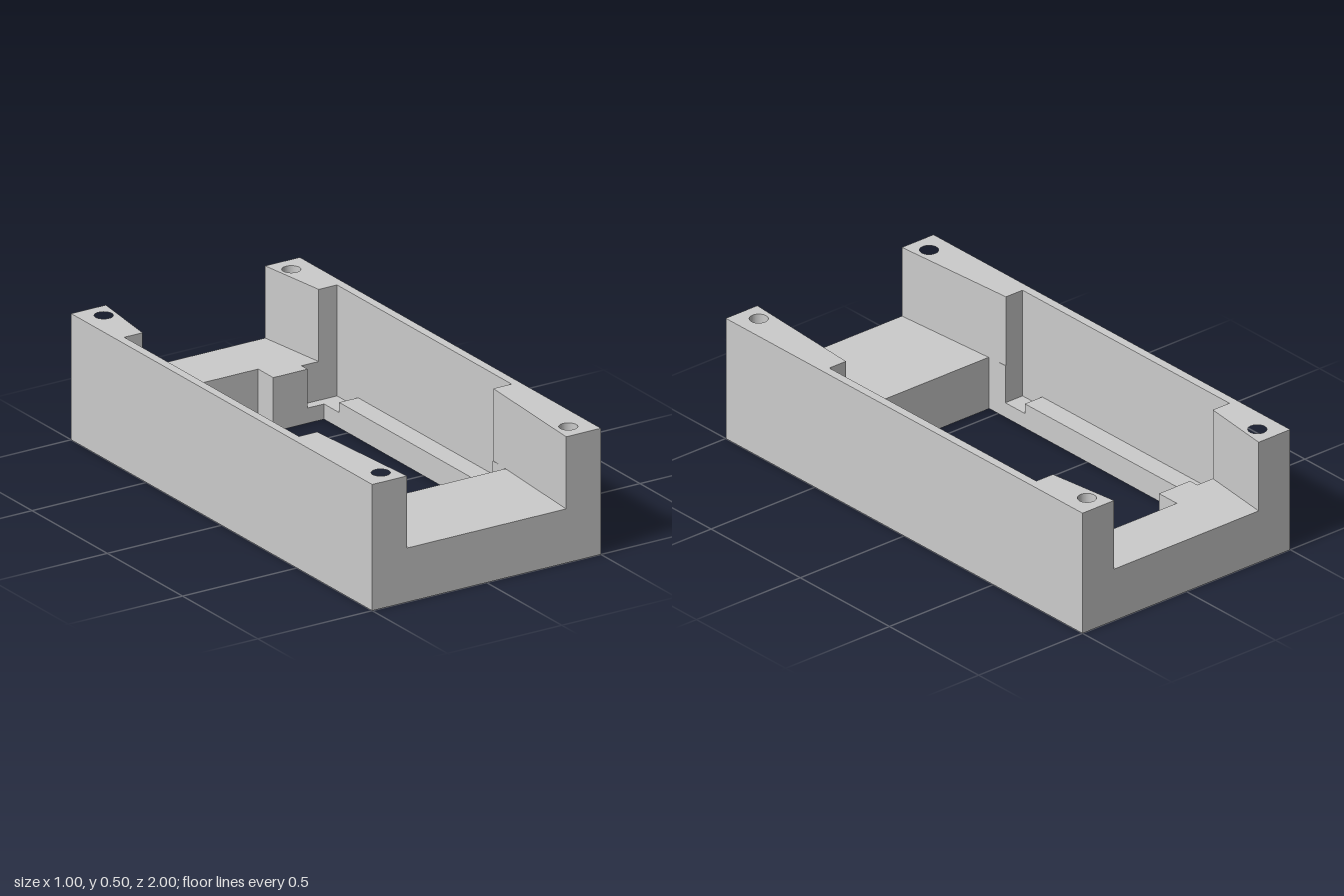
import * as THREE from 'three';

const material = new THREE.MeshStandardMaterial({ color: 0xcccccc });

// heights of the stacked levels
const FLOOR = 0.06, RAIL = 0.1, DECK = 0.213, TOP = 0.497;

// closed path from [x, z] points
function trace(path, points) {
  points.forEach(([x, z], i) => (i ? path.lineTo(x, z) : path.moveTo(x, z)));
  path.closePath();
  return path;
}

function circle([x, z, r]) {
  return new THREE.Path().absarc(x, z, r, 0, Math.PI * 2, true);
}

// plan outline (x, z) raised from y0 to y1, with cut-outs
function slab(name, outline, holes, y0, y1) {
  const shape = trace(new THREE.Shape(), outline);
  shape.holes.push(...holes);
  const geometry = new THREE.ExtrudeGeometry(shape, { depth: y1 - y0, bevelEnabled: false, curveSegments: 32 });
  geometry.rotateX(Math.PI / 2);
  geometry.translate(0, y1, 0);
  const mesh = new THREE.Mesh(geometry, material);
  mesh.name = name;
  return mesh;
}

// opening symmetric in x, given by its +x half
function opening(half) {
  const mirrored = half.map(([x, z]) => [-x, z]).reverse();
  return trace(new THREE.Path(), [...half, ...mirrored]);
}

export function createModel() {
  const group = new THREE.Group();
  group.name = 'mountingFrame';

  const outer = [[-0.5, -1], [0.5, -1], [0.5, 1], [-0.5, 1]];
  const notch = [[0.16, -0.76], [0.16, -0.66]];
  const pocketBack = [[0.31, -0.66], [0.31, -0.70], [0.465, -0.70]];
  const pocketFront = [[0.465, 0.46], [0.382, 0.46], [0.382, 0.55]];

  // screw holes run the full height
  const screws = [];
  for (const x of [-0.41, 0.41]) for (const z of [-0.92, 0.92]) screws.push([x, z, 0.035]);

  // underside: two diagonal screws are counterbored, plus blind sockets and pin holes
  const under = screws.map(([x, z, r]) => [x, z, x * z > 0 ? 0.057 : r]);
  for (const x of [-0.42, 0.42]) {
    for (const z of [-0.793, 0.79]) under.push([x, z, 0.065]);
    under.push([Math.sign(x) * 0.445, 0.5, 0.024]);
  }
  for (const z of [-0.94, 0.94]) under.push([0, z, 0.024]);

  // base plate with the main opening
  const plain = opening([...notch, [0.382, -0.66], [0.382, 0.55]]);
  group.add(slab('basePlate', outer, [plain, ...under.map(circle)], 0, FLOOR));

  // side rails, recessed at both ends
  const railed = opening([...notch, ...pocketBack, [0.465, -0.56], [0.382, -0.56],
    [0.382, 0.35], [0.465, 0.35], ...pocketFront]);
  group.add(slab('sideRails', outer, [railed, ...under.map(circle)], FLOOR, RAIL));

  // end decks with the full-length side pocket
  const pocketed = opening([...notch, ...pocketBack, ...pocketFront]);
  group.add(slab('endDecks', outer, [pocketed, ...screws.map(circle)], RAIL, DECK));

  // tall side walls, thin in the middle with flared ends
  for (const side of [-1, 1]) {
    const wall = [[0.5, -1], [0.5, 1], [0.348, 1], [0.385, 0.46], [0.465, 0.46],
      [0.465, -0.70], [0.385, -0.70], [0.348, -1]].map(([x, z]) => [x * side, z]);
    const holes = screws.filter(([x]) => x * side > 0).map(circle);
    group.add(slab(side > 0 ? 'leftWall' : 'rightWall', wall, holes, DECK, TOP));
  }
  return group;
}
